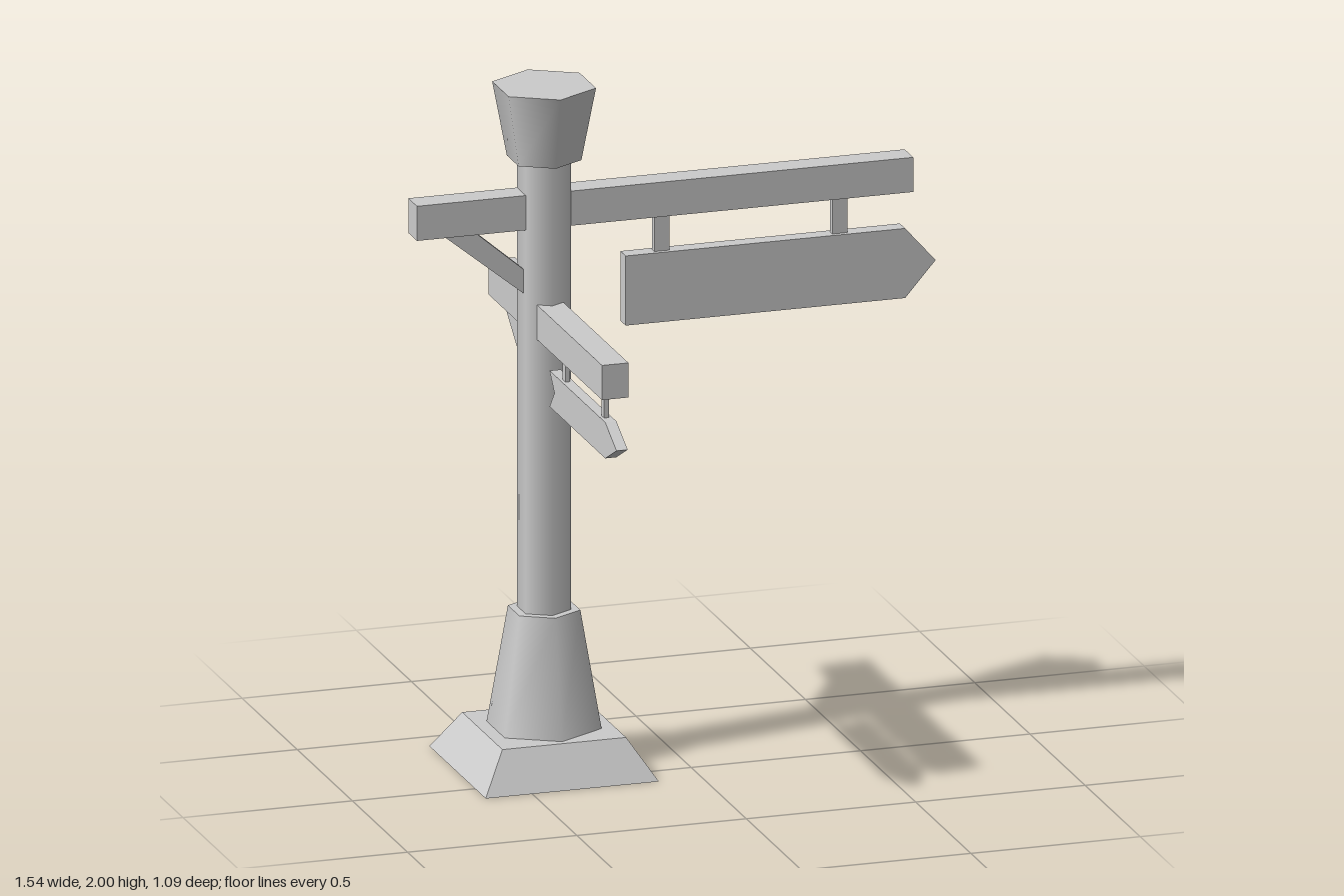
import * as THREE from 'three';

const material = new THREE.MeshStandardMaterial({ color: 0xcccccc });
const flatMaterial = new THREE.MeshStandardMaterial({ color: 0xcccccc, flatShading: true });

function addMesh(parent, name, geometry, mat = flatMaterial) {
  const mesh = new THREE.Mesh(geometry, mat);
  mesh.name = name;
  parent.add(mesh);
  return mesh;
}

// Tapered prism standing between two heights
function addTaper(parent, name, rTop, rBottom, y0, y1, sides, mat) {
  const geometry = new THREE.CylinderGeometry(rTop, rBottom, y1 - y0, sides);
  if (sides === 4) geometry.rotateY(Math.PI / 4);
  addMesh(parent, name, geometry, mat).position.y = (y0 + y1) / 2;
}

// Box given by its span along the arm, its heights and its thickness
function addBar(parent, name, x0, x1, y0, y1, depth) {
  const bar = addMesh(parent, name, new THREE.BoxGeometry(x1 - x0, y1 - y0, depth));
  bar.position.set((x0 + x1) / 2, (y0 + y1) / 2, 0);
}

// Flat outline extruded evenly to both sides of the arm's centre plane
function addPlate(parent, name, points, depth) {
  const shape = new THREE.Shape(points.map(([x, y]) => new THREE.Vector2(x, y)));
  const geometry = new THREE.ExtrudeGeometry(shape, { depth, bevelEnabled: false });
  geometry.translate(0, 0, -depth / 2);
  addMesh(parent, name, geometry);
}

// Crossbeam with a hanging arrow board and a brace; x runs outward from the post, y = 0 is the beam's underside
function createArm(name, { back, front, hangers, hangerSize, board, boardDepth, brace }) {
  const arm = new THREE.Group();
  arm.name = name;
  addBar(arm, 'beam', back, front, 0, 0.102, 0.078);
  for (const x of hangers) {
    addBar(arm, 'hanger', x - hangerSize[0] / 2, x + hangerSize[0] / 2, board[1][1] - 0.005, 0.005, hangerSize[1]);
  }
  addPlate(arm, 'arrowBoard', board, boardDepth);
  addPlate(arm, 'brace', brace, 0.042);
  return arm;
}

export function createModel() {
  const model = new THREE.Group();
  model.name = 'signpost';

  // Post with its base and cap
  const post = new THREE.Group();
  post.name = 'post';
  addTaper(post, 'plinth', 0.365 / Math.SQRT2, 0.511 / Math.SQRT2, 0, 0.115, 4, flatMaterial);
  addTaper(post, 'pedestal', 0.104, 0.165, 0.115, 0.46, 6, material);
  addTaper(post, 'shaft', 0.0775, 0.0775, 0.46, 1.785, 6, material);
  addTaper(post, 'cap', 0.149, 0.107, 1.785, 2, 6, material);
  model.add(post);

  // Upper arm pointing left (+x)
  const upper = createArm('upperArm', {
    back: -0.388, front: 1.077,
    hangers: [0.345, 0.87], hangerSize: [0.045, 0.02],
    board: [[0.233, -0.315], [0.233, -0.11], [1.058, -0.11], [1.148, -0.212], [1.058, -0.315]],
    boardDepth: 0.048,
    brace: [[-0.304, 0], [-0.209, 0], [-0.045, -0.14], [-0.045, -0.21]],
  });
  upper.position.y = 1.59;
  model.add(upper);

  // Lower arm pointing to the front (+z), its board notched at the tail
  const lower = createArm('lowerArm', {
    back: -0.385, front: 0.645,
    hangers: [0.203, 0.553], hangerSize: [0.025, 0.014],
    board: [[0.1, -0.186], [0.145, -0.133], [0.1, -0.08], [0.605, -0.08], [0.707, -0.133], [0.605, -0.186]],
    boardDepth: 0.033,
    brace: [[-0.3, 0], [-0.205, 0], [-0.05, -0.13], [-0.05, -0.2]],
  });
  // Hangers reach the top of the notched board
  for (const part of lower.children) {
    if (part.name === 'hanger') {
      part.geometry.dispose();
      part.geometry = new THREE.BoxGeometry(0.025, 0.09, 0.014);
      part.position.y = -0.04;
    }
  }
  lower.rotation.y = -Math.PI / 2;
  lower.position.y = 1.27;
  model.add(lower);

  model.position.set(-0.382, 0, -0.16);
  const root = new THREE.Group();
  root.add(model);
  return root;
}
